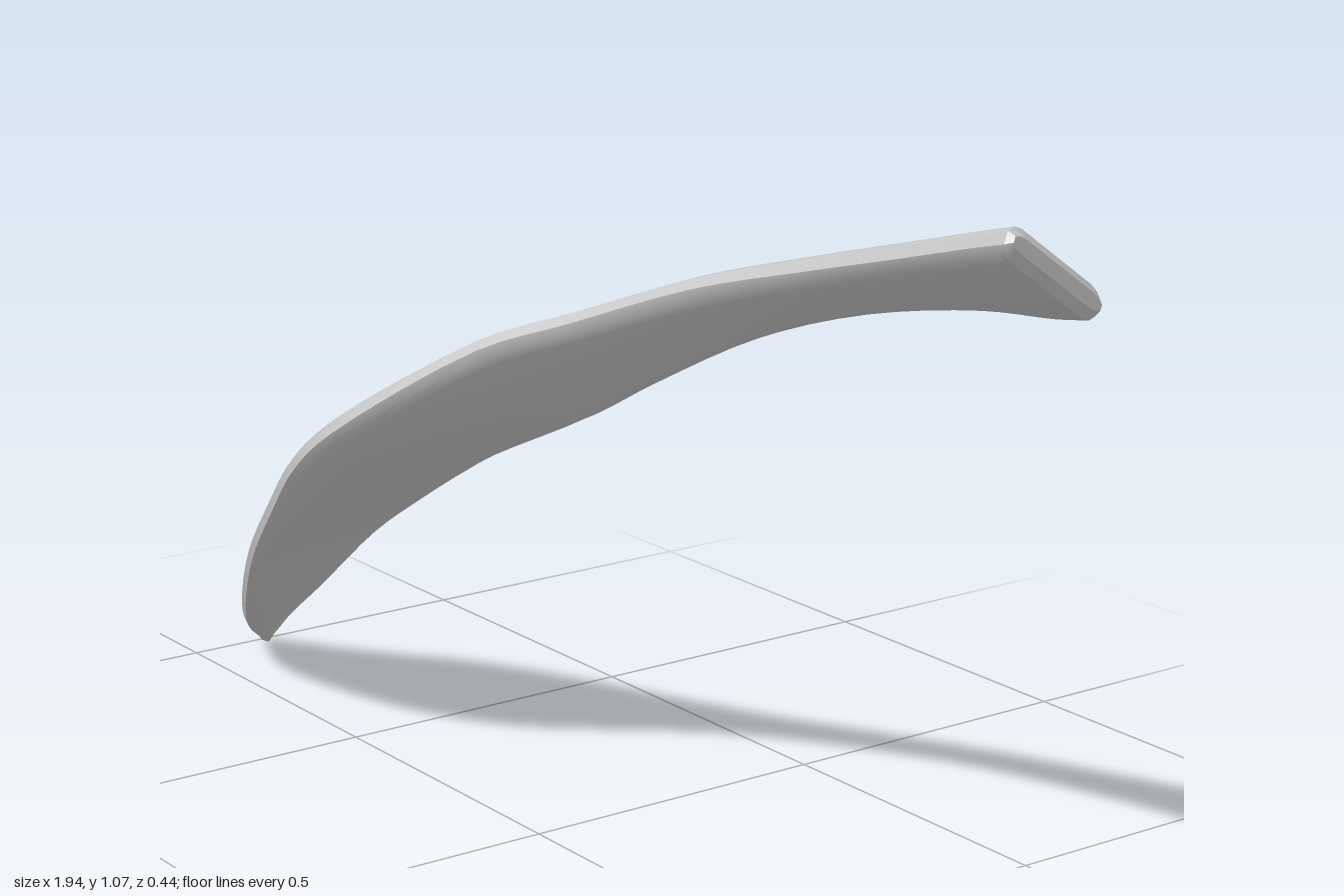
import * as THREE from 'three';
import { toCreasedNormals } from 'three/addons/utils/BufferGeometryUtils.js';

const v = (x, y, z) => new THREE.Vector3(x, y, z);

// Centre lines of the two rims, from the pointed tip to the flared end
const frontRim = new THREE.CatmullRomCurve3([
  v(-0.99, 0.014, -0.122), v(-0.95, 0.042, -0.09), v(-0.88, 0.09, -0.03), v(-0.77, 0.17, 0.04),
  v(-0.6, 0.308, 0.125), v(-0.45, 0.425, 0.18), v(-0.32, 0.535, 0.213), v(-0.23, 0.605, 0.208),
  v(0, 0.762, 0.105), v(0.135, 0.818, 0.05), v(0.35, 0.902, 0), v(0.55, 0.96, -0.024),
  v(0.72, 1.007, -0.03), v(0.88, 1.052, -0.02), v(0.94, 1.068, -0.01),
]);
const backRim = new THREE.CatmullRomCurve3([
  v(-0.99, 0.016, -0.134), v(-0.95, 0.05, -0.127), v(-0.88, 0.105, -0.115), v(-0.77, 0.188, -0.112),
  v(-0.6, 0.322, -0.11), v(-0.45, 0.415, -0.105), v(-0.32, 0.488, -0.097), v(-0.23, 0.535, -0.092),
  v(0, 0.638, -0.098), v(0.135, 0.712, -0.104), v(0.35, 0.82, -0.12), v(0.55, 0.892, -0.148),
  v(0.72, 0.925, -0.192), v(0.82, 0.93, -0.22), v(0.88, 0.94, -0.222),
]);

// Flat section with bevelled rims: [distance in from a rim, height as a share of half thickness]
const bevel = [[0, 0.4], [0.012, 0.85], [0.03, 1]];

function sectionAt(t, shrink) {
  const f = frontRim.getPoint(t), b = backRim.getPoint(t);
  const tangent = frontRim.getTangent(t).add(backRim.getTangent(t)).normalize();
  const chord = f.clone().sub(b);
  const width = chord.length();
  const normal = chord.clone().cross(tangent).normalize();
  const half = THREE.MathUtils.lerp(0.017, 0.022, t) * shrink * Math.min(1, 0.6 + t * 4);
  const top = [];
  for (const [d, h] of bevel) top.push([Math.min(d / width, 0.3 + d * 4), h]);
  top.push([0.5, 1]);
  for (const [d, h] of [...bevel].reverse()) top.push([1 - Math.min(d / width, 0.3 + d * 4), h]);
  const ring = [...top, ...[...top].reverse().map(([u, h]) => [u, -h])];
  const inset = (1 - shrink) * Math.min(0.012 / width, 0.3);
  return ring.map(([u, h]) => f.clone()
    .lerp(b, inset + u * (1 - 2 * inset))
    .addScaledVector(normal, h * half));
}

function bladeGeometry() {
  const steps = 56;
  const rings = [];
  for (let i = 0; i <= steps; i++) rings.push(sectionAt(i / steps, i === 0 ? 0.6 : 1));
  // Bevelled closing ring on the flared end
  const last = sectionAt(1, 0.45);
  last.forEach((p) => p.add(v(0.011, 0.002, 0)));
  rings.push(last);

  const n = rings[0].length;
  const points = rings.flat();
  const index = [];
  for (let i = 0; i < rings.length - 1; i++) {
    for (let j = 0; j < n; j++) {
      const k = (j + 1) % n;
      const a = i * n + j, b = a + n, c = (i + 1) * n + k, d = i * n + k;
      index.push(a, b, c, a, c, d);
    }
  }
  // End caps
  const centre = (ring) => ring.reduce((s, p) => s.add(p), v(0, 0, 0)).divideScalar(n);
  const tip = points.push(centre(rings[0])) - 1;
  const end = points.push(centre(last)) - 1;
  const base = (rings.length - 1) * n;
  for (let j = 0; j < n; j++) {
    const k = (j + 1) % n;
    index.push(tip, j, k, end, base + k, base + j);
  }
  const geometry = new THREE.BufferGeometry().setFromPoints(points);
  geometry.setIndex(index);
  return toCreasedNormals(geometry, 0.6);
}

export function createModel() {
  const lightGrey = new THREE.MeshStandardMaterial({ color: 0xcccccc });
  lightGrey.name = 'lightGrey';
  const group = new THREE.Group();
  group.name = 'curvedBlade';
  const blade = new THREE.Mesh(bladeGeometry(), lightGrey);
  blade.name = 'blade';
  group.add(blade);
  return group;
}
